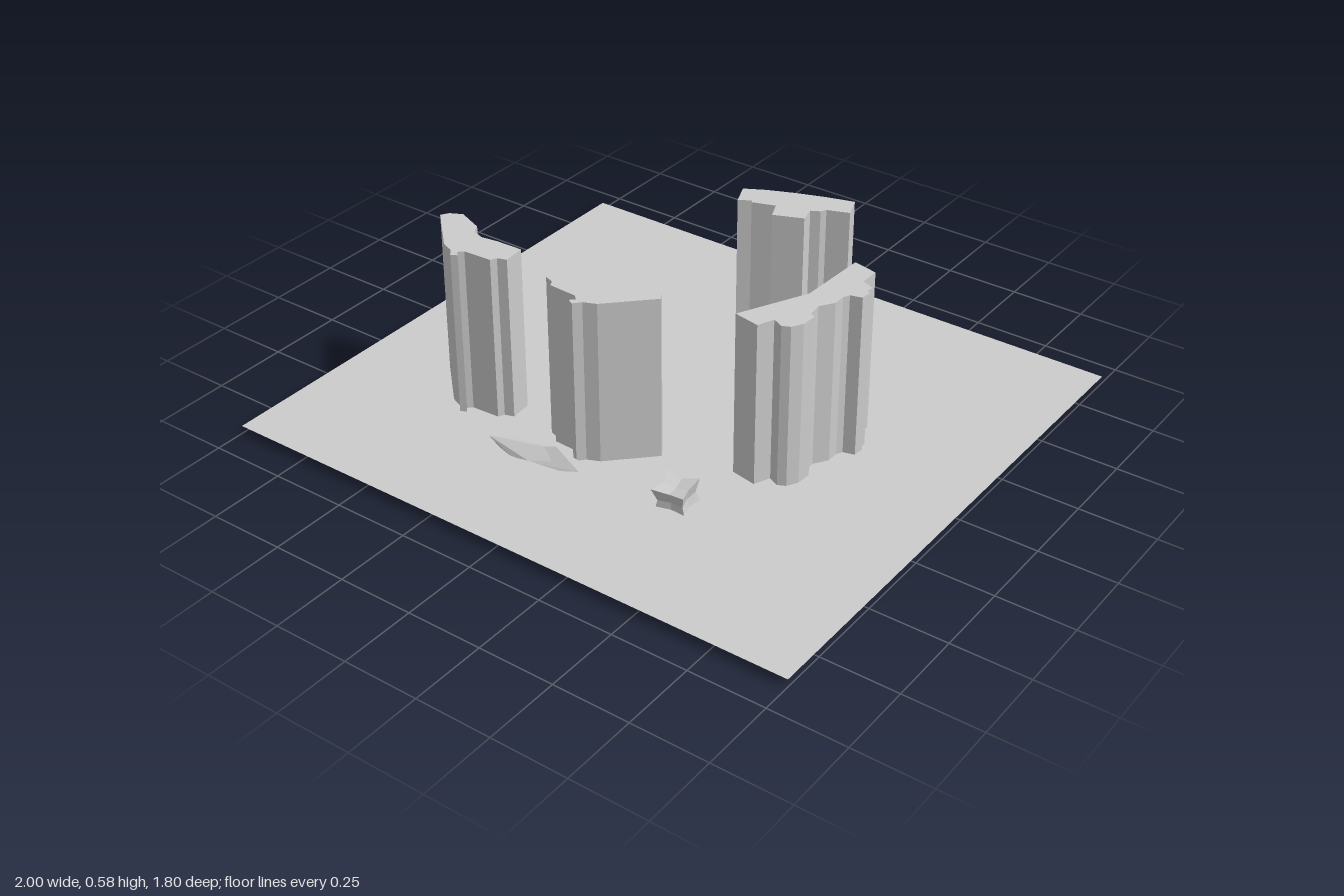
import * as THREE from 'three';
import { ConvexGeometry } from 'three/addons/geometries/ConvexGeometry.js';

const FLOOR = 0.03;

function createMaterial() {
  return new THREE.MeshStandardMaterial({ color: 0xcccccc, flatShading: true, side: THREE.DoubleSide });
}

export function createModel() {
  const model = new THREE.Group();
  const material = createMaterial();

  function add(name, geometry) {
    const mesh = new THREE.Mesh(geometry, material);
    mesh.name = name;
    model.add(mesh);
    return mesh;
  }

  // Upright wall extruded from a plan outline of [x, z] points
  function addWall(name, plan, top) {
    const shape = new THREE.Shape(plan.map(([x, z]) => new THREE.Vector2(x, -z)));
    const geometry = new THREE.ExtrudeGeometry(shape, { depth: top - FLOOR, bevelEnabled: false });
    geometry.rotateX(-Math.PI / 2);
    add(name, geometry).position.y = FLOOR;
  }

  // Flat ground sheet
  const ground = new THREE.PlaneGeometry(2, 1.8);
  ground.rotateX(-Math.PI / 2);
  add('groundSheet', ground).position.y = FLOOR;

  // Back wall with a stepped inner face
  addWall('backWall', [
    [-0.064, -0.425], [0.0, -0.46], [0.085, -0.496], [0.18, -0.53], [0.267, -0.555],
    [0.294, -0.484], [0.225, -0.458], [0.215, -0.44], [0.187, -0.425], [0.2, -0.372],
    [0.107, -0.334], [0.083, -0.39], [0.01, -0.365], [0.004, -0.375], [-0.034, -0.352],
  ], 0.575);

  // Side wall with rounded outer lumps
  addWall('sideWall', [
    [0.47, -0.233], [0.55, -0.216], [0.55, -0.15], [0.59, -0.135], [0.588, -0.11], [0.6, -0.105],
    [0.597, -0.07], [0.56, -0.06], [0.55, -0.04], [0.55, 0.0], [0.52, 0.045], [0.525, 0.09],
    [0.543, 0.1], [0.54, 0.15], [0.52, 0.185], [0.495, 0.197], [0.46, 0.18],
    [0.438, 0.233], [0.353, 0.217], [0.46, 0.0],
  ], 0.575);

  // Pair of bent front walls, mirrored
  const bentPlan = [
    [-0.705, 0.275], [-0.69, 0.25], [-0.65, 0.23], [-0.615, 0.245], [-0.565, 0.265], [-0.55, 0.295],
    [-0.51, 0.308], [-0.455, 0.3], [-0.367, 0.297], [-0.36, 0.37], [-0.39, 0.38], [-0.4, 0.4],
    [-0.495, 0.405], [-0.51, 0.42], [-0.495, 0.435], [-0.515, 0.445], [-0.535, 0.422], [-0.575, 0.405],
  ];
  addWall('bentWallRight', bentPlan, 0.583);
  addWall('bentWallLeft', bentPlan.map(([x, z]) => [-0.572 - x, z]).reverse(), 0.575);

  // Thin overlapping stone shards
  const shards = [
    [[-0.325, 0.062, 0.53], [-0.25, 0.066, 0.495], [-0.1, 0.07, 0.475], [-0.06, 0.05, 0.49],
      [-0.17, 0.035, 0.535], [-0.23, 0.028, 0.54], [-0.28, 0.04, 0.535]],
    [[-0.11, 0.077, 0.475], [-0.01, 0.055, 0.472], [-0.005, 0.042, 0.5], [-0.08, 0.027, 0.52],
      [-0.2, 0.026, 0.535], [-0.22, 0.05, 0.51], [-0.02, 0.028, 0.48]],
  ];
  shards.forEach((points, i) =>
    add('stoneShard' + (i + 1), new ConvexGeometry(points.map((p) => new THREE.Vector3(...p)))));

  // Knobbly stone: a cube with its faces and edges pulled inwards
  const stone = new THREE.BoxGeometry(2, 2, 2, 2, 2, 2);
  const pos = stone.attributes.position;
  const v = new THREE.Vector3();
  for (let i = 0; i < pos.count; i++) {
    v.fromBufferAttribute(pos, i);
    const pull = [0, 0.62, 0.75, 0.97][Math.round(v.lengthSq())];
    v.multiplyScalar(pull);
    pos.setXYZ(i, v.x, v.y, v.z);
  }
  stone.scale(0.055, 0.048, 0.052);
  stone.rotateY(0.12);
  stone.rotateX(0.12);
  stone.computeVertexNormals();
  add('knobblyStone', stone).position.set(0.312, 0.057, 0.445);

  return model;
}
